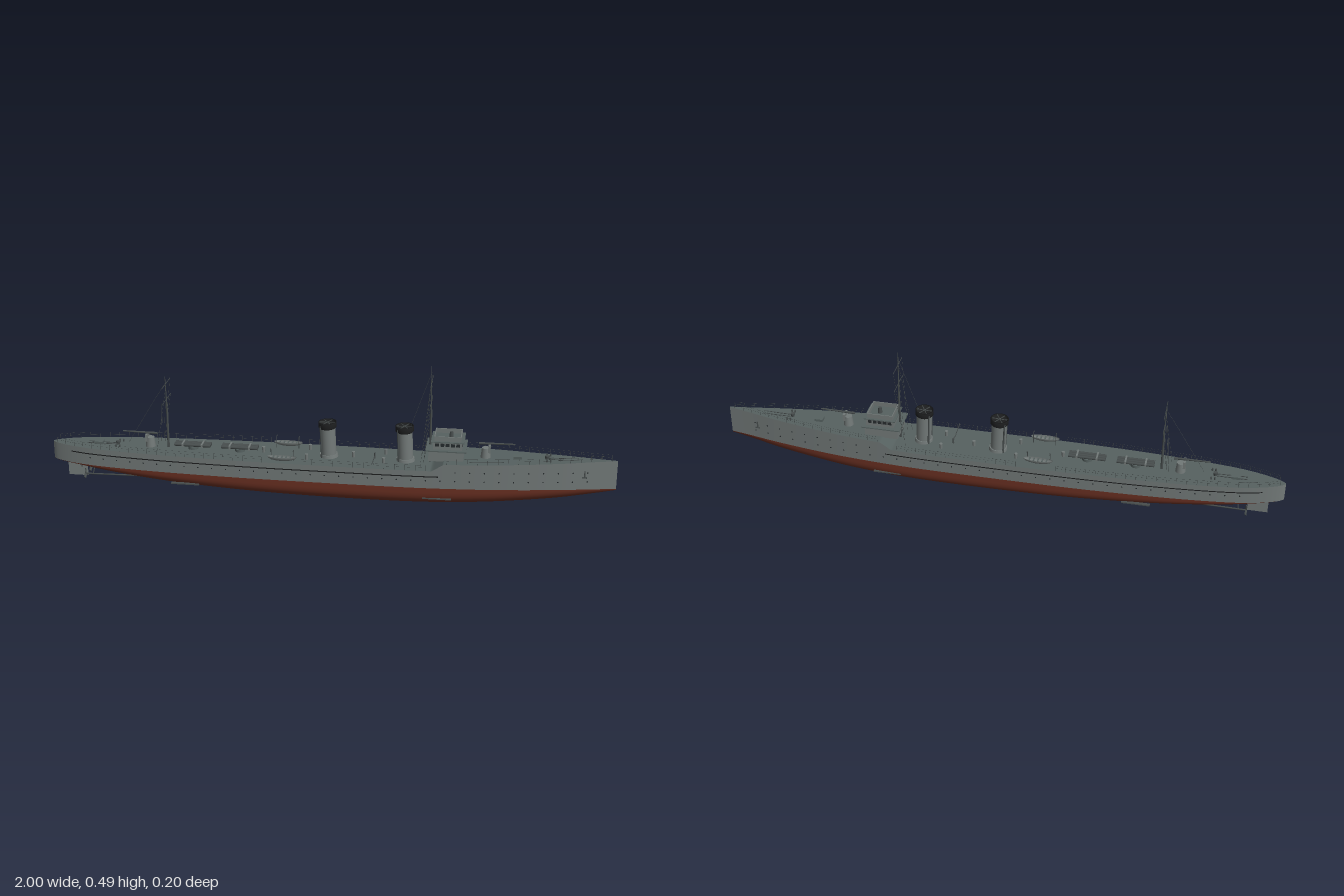
import * as THREE from 'three';
import { mergeGeometries } from 'three/addons/utils/BufferGeometryUtils.js';

const mat = (name, color, side = THREE.FrontSide) => {
  const m = new THREE.MeshStandardMaterial({ color, side });
  m.name = name;
  return m;
};

export function createModel() {
  const ship = new THREE.Group();
  ship.name = 'warship';
  const grey = mat('hull grey', 0x727978, THREE.DoubleSide);
  const deckMat = mat('deck grey', 0x566160, THREE.DoubleSide);
  const red = mat('bottom red', 0x6a3022);
  const black = mat('funnel black', 0x1d1e1f, THREE.DoubleSide);
  const dark = mat('fitting grey', 0x474d4d);
  const glass = mat('window dark', 0x262b2d);

  const add = (name, geo, m, parent = ship) => {
    const mesh = new THREE.Mesh(geo, m);
    mesh.name = name;
    parent.add(mesh);
    return mesh;
  };
  const box = (w, h, d, x, y, z) => new THREE.BoxGeometry(w, h, d).translate(x, y, z);
  const cyl = (r1, r2, h, x, y, z, n = 16) => new THREE.CylinderGeometry(r1, r2, h, n).translate(x, y, z);
  // round bar between two points
  const bar = (a, b, r1, r2 = r1, n = 5) => {
    const A = new THREE.Vector3(...a), B = new THREE.Vector3(...b), dir = B.clone().sub(A);
    const g = new THREE.CylinderGeometry(r2, r1, dir.length(), n);
    g.applyQuaternion(new THREE.Quaternion().setFromUnitVectors(new THREE.Vector3(0, 1, 0), dir.normalize()));
    return g.translate(...A.add(B).multiplyScalar(0.5).toArray());
  };
  // skin over equal-length rows of points
  const loft = rows => {
    const n = rows[0].length, idx = [];
    for (let i = 0; i < rows.length - 1; i++) for (let j = 0; j < n - 1; j++) {
      const a = i * n + j, b = a + n;
      idx.push(a, a + 1, b, b, a + 1, b + 1);
    }
    const g = new THREE.BufferGeometry();
    g.setAttribute('position', new THREE.Float32BufferAttribute(rows.flat(2), 3));
    g.setIndex(idx);
    g.computeVertexNormals();
    return g;
  };

  // Hull lines: x, half beam, keel height
  const WL = 0.075;
  const lines = new THREE.CatmullRomCurve3([
    [-1, 0.002, 0.073], [-0.985, 0.014, 0.071], [-0.95, 0.03, 0.069], [-0.88, 0.05, 0.062], [-0.8, 0.063, 0.05],
    [-0.6, 0.081, 0.028], [-0.3, 0.093, 0.01], [0, 0.095, 0.002], [0.3, 0.092, 0.002], [0.45, 0.084, 0.006],
    [0.6, 0.07, 0.015], [0.8, 0.04, 0.034], [0.92, 0.016, 0.054], [1, 0.001, 0.071],
  ].map(p => new THREE.Vector3(...p)), false, 'centripetal').getPoints(130);
  const at = x => {
    let i = 1;
    while (i < lines.length - 1 && lines[i].x < x) i++;
    const a = lines[i - 1], b = lines[i];
    return a.clone().lerp(b, THREE.MathUtils.clamp((x - a.x) / (b.x - a.x), 0, 1));
  };
  const deckY = x => x < 0.37 ? 0.14 : x < 0.41 ? 0.14 + (x - 0.37) * 0.65 : 0.166 + 0.013 * ((x - 0.41) / 0.59) ** 1.5;
  const sideZ = (x, y) => at(x).y * (0.97 + 0.03 * (y - WL) / 0.07);
  const xs = [...lines.map(p => p.x), 0.37, 0.41].sort((a, b) => a - b);

  const bottom = xs.map(x => {
    const { y: w, z: k } = at(x), p = 2 / (1.3 + 1.8 * Math.min(1, w / 0.095)), row = [];
    for (let j = 0; j <= 24; j++) {
      const t = Math.PI * j / 24, c = Math.cos(t), s = Math.max(0, Math.sin(t));
      row.push([x, WL - (WL - k) * s ** p, Math.sign(c) * Math.abs(c) ** p * w * 0.97]);
    }
    return row;
  });
  add('underwater hull', loft(bottom), red);
  add('left topside', loft(xs.map(x => [[x, WL, -sideZ(x, WL)], [x, deckY(x), -sideZ(x, deckY(x))]])), grey);
  add('right topside', loft(xs.map(x => [[x, deckY(x), sideZ(x, deckY(x))], [x, WL, sideZ(x, WL)]])), grey);
  add('deck', loft(xs.map(x => [-1, 1].map(s => [x, deckY(x), s * sideZ(x, deckY(x))]))), deckMat);
  add('keel', box(0.5, 0.004, 0.02, 0.15, 0.002, 0), red);

  // Side details: rubbing strake, portholes, anchors, bilge fins
  const strakeX = xs.filter(x => x > -0.93 && x < 0.4);
  for (const s of [-1, 1]) {
    add('rubbing strake', loft(strakeX.map(x => [0.121, 0.117].map(y => [x, y, s * (sideZ(x, y) + 0.001)]))), glass)
      .material = black;
    const ports = [];
    const port = (x, y) => ports.push(new THREE.CylinderGeometry(0.0025, 0.0025, 0.002, 8)
      .rotateX(Math.PI / 2).translate(x, y, s * sideZ(x, y)));
    for (let x = -0.85; x < 0.93; x += 0.05) port(x, 0.104);
    for (let x = 0.45; x < 0.93; x += 0.05) port(x, 0.137);
    add('portholes', mergeGeometries(ports), glass);
    const az = s * (sideZ(0.89, 0.125) + 0.002);
    add('anchor', mergeGeometries([box(0.004, 0.024, 0.004, 0.89, 0.132, az), box(0.016, 0.004, 0.005, 0.89, 0.12, az)]), dark);
    for (const x of [-0.5, 0.39]) add('bilge fin', box(0.1, 0.004, 0.012, x, 0.035, s * (at(x).y * 0.9)), dark);
  }

  // Rudder, shafts and propellers
  add('rudder', box(0.07, 0.05, 0.006, -0.915, 0.037, 0), grey);
  add('rudder stock', cyl(0.004, 0.004, 0.03, -0.9, 0.06, 0, 8), dark);
  for (const s of [-1, 1]) {
    const drive = new THREE.Group();
    drive.name = 'propeller drive';
    ship.add(drive);
    add('shaft', bar([-0.875, 0.032, s * 0.032], [-0.62, 0.036, s * 0.032], 0.003), dark, drive);
    add('shaft bracket', bar([-0.85, 0.032, s * 0.032], [-0.845, 0.065, s * 0.02], 0.002), dark, drive);
    const blades = [0, 1, 2].map(i => box(0.003, 0.018, 0.009, 0, 0.01, 0).rotateY(0.5)
      .rotateX(i * Math.PI * 2 / 3).translate(-0.877, 0.032, s * 0.032));
    add('propeller', mergeGeometries(blades), dark, drive);
  }

  // Funnels, raked slightly aft
  for (const x of [0, 0.27]) {
    const funnel = new THREE.Group();
    funnel.name = 'funnel';
    funnel.position.set(x + 0.003, 0.138, 0);
    funnel.rotation.z = 0.045;
    ship.add(funnel);
    add('casing', cyl(0.027, 0.027, 0.112, 0, 0.056, 0, 24), grey, funnel);
    add('base', cyl(0.031, 0.033, 0.012, 0, 0.006, 0, 24), grey, funnel);
    add('cap', new THREE.LatheGeometry([[0.0285, 0.108], [0.032, 0.112], [0.032, 0.13], [0.028, 0.13], [0.027, 0.115], [0, 0.115]]
      .map(p => new THREE.Vector2(...p)), 24), black, funnel);
    add('cap grating', mergeGeometries([0, 1, 2].map(i => box(0.056, 0.002, 0.002, 0, 0.128, 0).rotateY(i * Math.PI / 3))), dark, funnel);
    for (const s of [-1, 1]) add('steam pipe', cyl(0.003, 0.003, 0.12, -0.022, 0.06, s * 0.022, 8), dark, funnel);
  }

  // Bridge tower
  const bridge = new THREE.Group();
  bridge.name = 'bridge';
  ship.add(bridge);
  add('lower house', box(0.12, 0.04, 0.1, 0.415, 0.182, 0), grey, bridge);
  add('bridge platform', box(0.14, 0.004, 0.12, 0.415, 0.202, 0), deckMat, bridge);
  add('wheelhouse', box(0.1, 0.03, 0.09, 0.42, 0.217, 0), grey, bridge);
  add('wheelhouse roof', box(0.115, 0.003, 0.1, 0.42, 0.232, 0), deckMat, bridge);
  add('upper bulwark', mergeGeometries([
    ...[-1, 1].map(s => box(0.09, 0.018, 0.003, 0.42, 0.241, s * 0.04)),
    ...[-1, 1].map(s => box(0.003, 0.018, 0.08, 0.42 + s * 0.045, 0.241, 0)),
  ]), grey, bridge);
  add('compass stand', cyl(0.006, 0.008, 0.022, 0.43, 0.244, 0, 10), dark, bridge);
  const panes = [];
  for (let i = -2; i <= 2; i++) {
    panes.push(box(0.002, 0.011, 0.012, 0.4705, 0.221, i * 0.0165));
    for (const s of [-1, 1]) panes.push(box(0.013, 0.011, 0.002, 0.42 + i * 0.018, 0.221, s * 0.0455));
  }
  add('windows', mergeGeometries(panes), glass, bridge);

  // Masts with yards and rigging
  const mast = (name, x, base, top, yards, gaff) => {
    const g = new THREE.Group();
    g.name = name;
    ship.add(g);
    const mid = base + (top - base) * 0.55;
    add('lower mast', bar([x, base, 0], [x, mid, 0], 0.0045, 0.0035, 8), dark, g);
    add('topmast', bar([x, mid, 0], [x - 0.003, top, 0], 0.0028, 0.001, 6), dark, g);
    const ropes = [bar([x, top - 0.02, 0], gaff[0], 0.0005), bar(gaff[0], gaff[1], 0.0005)];
    for (const y of yards) {
      add('yard', bar([x, y, -0.057], [x, y, 0.057], 0.0012), dark, g);
      for (const s of [-1, 1]) ropes.push(bar([x, y, s * 0.055], [x - 0.02, base + 0.005, s * 0.025], 0.0004, 0.0004, 4));
    }
    for (const s of [-1, 1]) ropes.push(bar([x, top - 0.03, 0], [x - 0.03, base, s * 0.05], 0.0005, 0.0005, 4));
    add('rigging', mergeGeometries(ropes), dark, g);
  };
  mast('foremast', 0.358, 0.14, 0.49, [0.437, 0.364], [[0.32, 0.36, 0], [0.29, 0.27, 0]]);
  mast('mainmast', -0.575, 0.14, 0.405, [0.38, 0.322], [[-0.62, 0.315, 0], [-0.72, 0.15, 0]]);

  // Main guns
  const gun = (x, dir) => {
    const g = new THREE.Group();
    g.name = 'gun';
    g.position.set(x, deckY(x), 0);
    g.scale.x = 1;
    g.rotation.y = dir > 0 ? 0 : Math.PI;
    ship.add(g);
    add('mount', cyl(0.014, 0.018, 0.035, 0, 0.0175, 0, 14), grey, g);
    add('shield', box(0.008, 0.026, 0.032, 0.012, 0.034, 0), grey, g);
    add('barrel', bar([-0.025, 0.05, 0], [0.1, 0.052, 0], 0.0045, 0.0025, 8), dark, g);
  };
  gun(0.55, 1);
  gun(-0.64, -1);

  // Torpedo tubes on turntables
  for (const x of [-0.485, -0.315]) {
    const g = new THREE.Group();
    g.name = 'torpedo tubes';
    ship.add(g);
    add('turntable', cyl(0.018, 0.018, 0.01, x, 0.145, 0), deckMat, g);
    for (const z of [-0.012, 0, 0.012]) add('tube', bar([x - 0.065, 0.156, z], [x + 0.065, 0.156, z], 0.0055, 0.0055, 10), dark, g);
    add('clamps', mergeGeometries([-0.035, 0.035].map(d => box(0.006, 0.013, 0.04, x + d, 0.156, 0))), grey, g);
  }

  // Boats with davits
  for (const z of [-0.062, 0.077]) {
    const g = new THREE.Group();
    g.name = 'boat';
    ship.add(g);
    const hull = new THREE.SphereGeometry(1, 16, 6, 0, Math.PI * 2, Math.PI / 2, Math.PI / 2);
    add('boat hull', hull.scale(0.052, 0.016, 0.013).translate(-0.152, 0.159, z), grey, g).material = grey;
    add('thwarts', mergeGeometries([-0.03, -0.015, 0, 0.015, 0.03].map(d => box(0.005, 0.002, 0.02, -0.152 + d, 0.157, z))), deckMat, g);
    for (const d of [-0.04, 0.04]) add('davit', new THREE.TubeGeometry(new THREE.CatmullRomCurve3([[0.14, 0.014], [0.175, 0.013], [0.184, 0.005], [0.18, 0]]
      .map(p => new THREE.Vector3(-0.152 + d, p[0], z - Math.sign(z) * p[1]))), 10, 0.0014, 5), dark, g);
  }

  // Small deck fittings
  add('boom', bar([0.165, 0.15, 0], [0.165, 0.158, 0.1], 0.0015), dark);
  add('boom post', cyl(0.003, 0.003, 0.022, 0.165, 0.15, 0, 8), dark);
  for (const [x, z] of [[0.09, 0], [0.2, 0.04], [0.2, -0.04], [-0.07, 0.045], [-0.07, -0.045], [-0.23, 0]])
    add('ventilator', cyl(0.006, 0.005, 0.02, x, 0.15, z, 10), grey);
  for (const x of [0.76, -0.76]) {
    const y = deckY(x);
    add('capstan', cyl(0.008, 0.006, 0.012, x, y + 0.006, 0, 12), dark);
    for (const s of [-1, 1]) {
      add('bollards', mergeGeometries([0, 0.012].map(d => cyl(0.003, 0.003, 0.009, x + d, y + 0.0045, s * 0.026, 8))), dark);
      add('chain', bar([x, y + 0.002, s * 0.006], [x + Math.sign(x) * 0.11, y + 0.003, s * 0.008], 0.0015), dark);
    }
  }
  for (const x of [-0.83, 0.66]) add('hatch', box(0.03, 0.01, 0.024, x, deckY(x) + 0.004, 0), deckMat);

  // Railings around the deck edge
  for (const s of [-1, 1]) for (const [x0, x1] of [[-0.98, -0.22], [-0.08, 0.35], [0.42, 0.98]]) {
    const n = Math.round((x1 - x0) / 0.035), parts = [];
    const pt = (i, h) => {
      const x = x0 + (x1 - x0) * i / n, y = deckY(x);
      return [x, y + h, s * Math.max(0, sideZ(x, y) - 0.002)];
    };
    for (let i = 0; i <= n; i++) {
      parts.push(bar(pt(i, 0), pt(i, 0.02), 0.0006, 0.0006, 4));
      if (i < n) for (const h of [0.011, 0.02]) parts.push(bar(pt(i, h), pt(i + 1, h), 0.0003, 0.0003, 3));
    }
    add('railing', mergeGeometries(parts), dark);
  }
  return ship;
}
